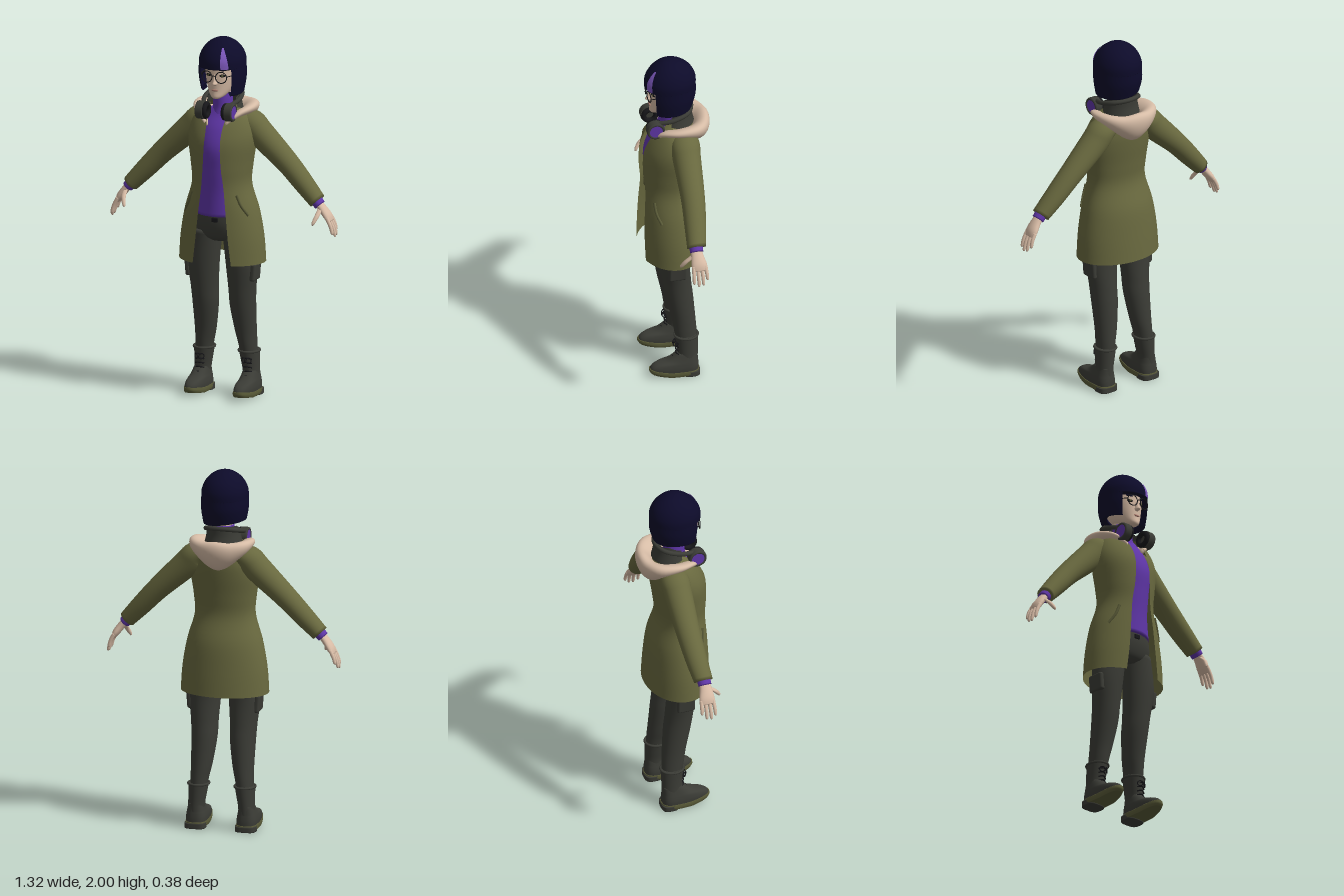
import * as THREE from 'three';
import { RoundedBoxGeometry } from 'three/addons/geometries/RoundedBoxGeometry.js';

const V = (x, y, z) => new THREE.Vector3(x, y, z);
const mat = (name, color, side = THREE.FrontSide) => {
  const m = new THREE.MeshStandardMaterial({ color, side });
  m.name = name;
  return m;
};

// Smooth blend through a short list of number rows; t counts rows.
function blend(rows, t) {
  const i = Math.min(Math.floor(t), rows.length - 2), f = t - i;
  const at = k => rows[Math.max(0, Math.min(rows.length - 1, k))];
  return rows[i].map((b, k) => {
    const a = at(i - 1)[k], c = at(i + 1)[k], d = at(i + 2)[k];
    return b + 0.5 * f * (c - a + f * (2 * a - 5 * b + 4 * c - d + f * (3 * (b - c) + d - a)));
  });
}

// Surface from a rule fn(u, v); optionally closed around u, with capped ends.
function surface(nu, nv, fn, closed = true, caps = true) {
  const pos = [], idx = [], w = closed ? nu : nu + 1;
  for (let j = 0; j <= nv; j++) for (let i = 0; i < w; i++) pos.push(...fn(i / nu, j / nv).toArray());
  for (let j = 0; j < nv; j++) for (let i = 0; i < nu; i++) {
    const a = j * w + i, b = j * w + (i + 1) % w;
    idx.push(a, b, b + w, a, b + w, a + w);
  }
  if (closed && caps) for (const j of [0, nv]) {
    const c = V(0, 0, 0), k = pos.length / 3;
    for (let i = 0; i < w; i++) c.add(V(...pos.slice((j * w + i) * 3, (j * w + i) * 3 + 3)));
    pos.push(...c.divideScalar(w).toArray());
    for (let i = 0; i < w; i++) {
      const a = j * w + i, b = j * w + (i + 1) % w;
      j ? idx.push(a, b, k) : idx.push(b, a, k);
    }
  }
  const g = new THREE.BufferGeometry();
  g.setAttribute('position', new THREE.Float32BufferAttribute(pos, 3));
  g.setIndex(idx);
  g.computeVertexNormals();
  return g;
}

// Level ring from a row [y, centre x, centre z, half width, front depth, back depth].
function ring([y, cx, cz, rx, zf, zb], a, p = 1) {
  const s = Math.sin(a), c = Math.cos(a), pw = n => Math.sign(n) * Math.abs(n) ** p;
  return V(cx + rx * pw(s), y, cz + (c > 0 ? zf : zb) * pw(c));
}
const stack = (rows, p = 1, seg = 32) => surface(seg, (rows.length - 1) * 5,
  (u, v) => ring(blend(rows, v * (rows.length - 1)), u * Math.PI * 2, p));
// Stack left open at the front; start(row) is the angle of its edge.
const openStack = (rows, start, bend = q => q) => surface(48, (rows.length - 1) * 5, (u, v) => {
  const r = blend(rows, v * (rows.length - 1)), a = start(r);
  return bend(ring(r, a + u * (Math.PI * 2 - 2 * a)), v);
}, false);

// Limb along rows [x, y, z, radius, radius along up].
function limb(rows, up = V(0, 0, 1), skew = 0, seg = 18) {
  const n = rows.length - 1, at = t => V(...blend(rows, t).slice(0, 3));
  return surface(seg, n * 5, (u, v) => {
    const t = v * n, r = blend(rows, t), a = u * Math.PI * 2;
    const T = at(Math.min(n, t + 0.05)).sub(at(Math.max(0, t - 0.05)));
    const N = up.clone().cross(T).normalize();
    return V(r[0], r[1], r[2]).addScaledVector(N, r[3] * (Math.cos(a) + skew * Math.sin(a)))
      .addScaledVector(up, r[4] * Math.sin(a));
  });
}
const tube = (pts, r) => new THREE.TubeGeometry(new THREE.CatmullRomCurve3(pts.map(p => V(...p))), 24, r, 8);

function mirrored(geo) {
  const g = geo.clone().scale(-1, 1, 1);
  if (g.index) {
    const a = g.index.array;
    for (let i = 0; i < a.length; i += 3) [a[i], a[i + 1]] = [a[i + 1], a[i]];
  } else for (const at of Object.values(g.attributes)) for (let i = 0; i < at.count; i += 3)
    for (let k = 0; k < at.itemSize; k++) {
      const x = at.getComponent(i, k);
      at.setComponent(i, k, at.getComponent(i + 1, k));
      at.setComponent(i + 1, k, x);
    }
  return g;
}

export function createModel() {
  const model = new THREE.Group();
  model.name = 'woman in parka';
  const D = THREE.DoubleSide;
  const hair = mat('navy hair', 0x0d0b2a, D), purple = mat('purple knit', 0x5f36a8, D), lilac = mat('lilac streak', 0x7d58bd, D);
  const skin = mat('skin', 0xd8bca6), fleece = mat('beige fleece', 0xd6bca6), olive = mat('olive cloth', 0x69693f, D);
  const charcoal = mat('charcoal', 0x3b3c36, D), black = mat('black', 0x17171a), sole = mat('sole olive', 0x5a5b38), lip = mat('lips', 0xb08073);
  const add = (name, geo, m) => {
    const mesh = new THREE.Mesh(geo, m);
    mesh.name = name;
    model.add(mesh);
  };
  const pair = (name, geo, m) => {
    add(name + 'Left', geo, m);
    add(name + 'Right', mirrored(geo), m);
  };
  const ball = (x, y, z, sx, sy, sz, ry = 0) =>
    new THREE.SphereGeometry(1, 20, 12).scale(sx, sy, sz).rotateY(ry).translate(x, y, z);

  // Head and face
  add('head', stack([[1.678, 0, 0.112, 0.02, 0.02, 0.02], [1.69, 0, 0.085, 0.04, 0.052, 0.05], [1.72, 0, 0.05, 0.064, 0.084, 0.09],
    [1.77, 0, 0.03, 0.082, 0.104, 0.11], [1.82, 0, 0.03, 0.088, 0.104, 0.12], [1.88, 0, 0.03, 0.088, 0.1, 0.12],
    [1.93, 0, 0.03, 0.07, 0.075, 0.09], [1.96, 0, 0.03, 0.03, 0.03, 0.04]]), skin);
  add('nose', stack([[1.752, 0, 0.13, 0.006, 0.008, 0.01], [1.762, 0, 0.13, 0.014, 0.029, 0.01],
    [1.78, 0, 0.13, 0.01, 0.021, 0.01], [1.815, 0, 0.125, 0.006, 0.012, 0.01]]), skin);
  add('lips', ball(0, 1.726, 0.135, 0.02, 0.006, 0.005), lip);
  add('neck', stack([[1.6, 0, 0.01, 0.045, 0.05, 0.05], [1.74, 0, 0.015, 0.045, 0.055, 0.05]]), skin);
  pair('eye', ball(0.04, 1.808, 0.124, 0.017, 0.008, 0.004, 0.4), black);
  pair('iris', ball(0.04, 1.808, 0.1265, 0.007, 0.007, 0.003, 0.4), sole);
  pair('brow', ball(0.042, 1.838, 0.122, 0.021, 0.004, 0.004, 0.4), hair);

  // Round glasses
  pair('lensRim', new THREE.TorusGeometry(0.031, 0.0028, 6, 32).rotateY(0.15).translate(0.041, 1.803, 0.147), black);
  pair('templeArm', tube([[0.071, 1.808, 0.142], [0.092, 1.81, 0.1], [0.096, 1.81, 0.02]], 0.0025), black);
  add('glassesBridge', tube([[-0.011, 1.808, 0.152], [0, 1.812, 0.159], [0.011, 1.808, 0.152]], 0.0025), black);

  // Bob haircut: cap with fringe, side and back curtain, coloured streak
  const capRows = [[1.845, 0, 0.02, 0.128, 0.143, 0.14], [1.89, 0, 0.02, 0.126, 0.139, 0.139], [1.935, 0, 0.02, 0.108, 0.115, 0.12],
    [1.97, 0, 0.02, 0.078, 0.078, 0.085], [1.992, 0, 0.02, 0.04, 0.04, 0.045], [1.999, 0, 0.02, 0.006, 0.006, 0.006]];
  add('hairCap', stack(capRows, 1, 48), hair);
  add('hairCurtain', openStack([[1.73, 0, 0.02, 0.085, 0.1, 0.085], [1.712, 0, 0.02, 0.112, 0.125, 0.115], [1.73, 0, 0.02, 0.12, 0.13, 0.125],
    [1.79, 0, 0.02, 0.129, 0.138, 0.14], [1.85, 0, 0.02, 0.128, 0.143, 0.14]], () => 0.78, (q, v) => {
    q.y -= (1 - v) * (q.x * 0.17 + Math.max(0, q.z) * 0.1);
    return q;
  }), hair);
  add('hairStreak', surface(8, 16, (u, v) => {
    const q = ring(blend(capRows, 0.1 + v * 2.5), 0.5 - 0.1 * v + (u - 0.5) * 0.34 * (1 - 0.7 * v * v));
    return V(q.x * 1.02, q.y + 0.002, 0.02 + (q.z - 0.02) * 1.025);
  }, false), lilac);

  // Jumper with roll neck
  add('jumper', stack([[1.02, 0, 0.02, 0.15, 0.13, 0.1], [1.15, 0, 0.02, 0.135, 0.13, 0.085], [1.28, 0, 0.02, 0.14, 0.14, 0.09],
    [1.4, 0, 0.02, 0.15, 0.147, 0.1], [1.5, 0, 0.02, 0.14, 0.115, 0.1], [1.57, 0, 0.015, 0.11, 0.075, 0.09], [1.61, 0, 0.01, 0.06, 0.06, 0.06]]), purple);
  add('rollNeck', stack([[1.56, 0, 0.015, 0.07, 0.075, 0.07], [1.61, 0, 0.015, 0.055, 0.062, 0.06],
    [1.66, 0, 0.015, 0.052, 0.06, 0.06], [1.695, 0, 0.015, 0.051, 0.057, 0.06]]), purple);

  // Open parka; the seventh number is the front edge's distance from the middle
  const coatRows = [[0.76, 0, 0.02, 0.245, 0.18, 0.175, 0.112], [0.9, 0, 0.02, 0.235, 0.178, 0.165, 0.095], [1.05, 0, 0.02, 0.208, 0.172, 0.148, 0.08],
    [1.19, 0, 0.02, 0.168, 0.165, 0.108, 0.065], [1.3, 0, 0.02, 0.174, 0.17, 0.115, 0.053], [1.42, 0, 0.02, 0.19, 0.165, 0.133, 0.047],
    [1.5, 0, 0.02, 0.183, 0.138, 0.14, 0.047], [1.57, 0, 0.02, 0.15, 0.096, 0.13, 0.055], [1.61, 0, 0.015, 0.1, 0.06, 0.09, 0.065], [1.63, 0, 0.01, 0.075, 0.05, 0.07, 0.06]];
  add('coat', openStack(coatRows, r => Math.asin(Math.min(0.95, r[6] / r[3]))), olive);
  pair('sleeve', limb([[0.09, 1.55, -0.03, 0.045, 0.07], [0.15, 1.525, -0.03, 0.07, 0.08], [0.2, 1.47, -0.028, 0.075, 0.077],
    [0.355, 1.325, -0.025, 0.062, 0.066], [0.46, 1.215, -0.015, 0.055, 0.06], [0.545, 1.125, -0.003, 0.046, 0.052]], undefined, 0, 28), olive);
  pair('coatPocket', tube([[2.7, 0.8], [2.3, 0.87], [1.9, 1.05]].map(([t, a]) => ring(blend(coatRows, t), a).toArray()), 0.008), sole);

  // Draped hood running from lapel to lapel around the back
  const half = [[0.055, 1.535, 0.125, 0.01, 0.014], [0.1, 1.582, 0.075, 0.03, 0.022], [0.135, 1.598, 0, 0.036, 0.03],
    [0.118, 1.585, -0.085, 0.046, 0.05], [0.063, 1.56, -0.128, 0.048, 0.072]];
  const hoodRows = [...half.map(([x, ...r]) => [-x, ...r]), [0, 1.553, -0.142, 0.048, 0.085], ...half.slice().reverse()];
  add('hood', limb(hoodRows, V(0, 1, 0), 0.5, 28), fleece);
  add('standCollar', openStack([[1.6, 0, 0, 0.105, 0.08, 0.11], [1.65, 0, 0, 0.095, 0.08, 0.1], [1.705, 0, 0, 0.088, 0.075, 0.1]],
    () => 1.15, (q, v) => {
      q.y -= v * 0.5 * Math.max(0, q.z + 0.04);
      return q;
    }), charcoal);

  // Headphones round the neck
  const band = [[0.078, 1.64, 0.105], [0.1, 1.66, 0.03], [0.08, 1.685, -0.06]];
  add('headphoneBand', tube([...band, [0, 1.695, -0.095], ...band.slice().reverse().map(([x, y, z]) => [-x, y, z])], 0.013), charcoal);
  const disc = (r, w, x) => new THREE.CylinderGeometry(r, r, w, 32).rotateZ(Math.PI / 2).translate(x, 1.607, 0.12);
  pair('earCup', disc(0.05, 0.036, 0.082), charcoal);
  pair('earCushion', new THREE.TorusGeometry(0.034, 0.014, 10, 32).rotateY(Math.PI / 2).translate(0.056, 1.607, 0.12), black);
  pair('earCupRim', new THREE.TorusGeometry(0.042, 0.008, 8, 32).rotateY(Math.PI / 2).translate(0.1, 1.607, 0.12), charcoal);
  pair('earCupDisc', disc(0.036, 0.006, 0.102), purple);

  // Cuffs and hands
  pair('knitCuff', limb([[0.53, 1.14, 0, 0.034, 0.038], [0.562, 1.105, 0, 0.031, 0.036]]), purple);
  pair('palm', limb([[0.54, 1.13, 0, 0.02, 0.027], [0.575, 1.09, 0, 0.021, 0.034], [0.605, 1.05, -0.004, 0.02, 0.043], [0.622, 1.02, -0.006, 0.012, 0.04]]), skin);
  [[0.028, 0.9], [0.006, 1.05], [-0.016, 1], [-0.037, 0.75]].forEach(([z, l], i) => pair('finger' + (i + 1), limb([
    [0.61, 1.045, z, 0.011, 0.011], [0.61 + 0.026 * l, 1.045 - 0.05 * l, z * 1.1, 0.01, 0.01],
    [0.61 + 0.038 * l, 1.045 - 0.09 * l, z * 1.15, 0.0085, 0.0085], [0.61 + 0.04 * l, 1.045 - 0.102 * l, z * 1.15, 0.004, 0.004]], undefined, 0, 10), skin));
  pair('thumb', limb([[0.57, 1.09, 0.02, 0.014, 0.012], [0.566, 1.058, 0.056, 0.013, 0.013],
    [0.555, 1.025, 0.079, 0.01, 0.011], [0.549, 1.01, 0.085, 0.004, 0.005]], undefined, 0, 12), skin);

  // Trousers
  add('hips', stack([[0.87, 0, 0.02, 0.1, 0.06, 0.07], [0.9, 0, 0.02, 0.15, 0.095, 0.11], [0.97, 0, 0.02, 0.165, 0.115, 0.12], [1.06, 0, 0.02, 0.145, 0.115, 0.095]]), charcoal);
  add('beltBuckle', new RoundedBoxGeometry(0.035, 0.025, 0.01, 2, 0.004).translate(0, 1.0, 0.137), black);
  pair('trouserLeg', stack([[0.22, 0.131, -0.04, 0.046, 0.056, 0.058], [0.28, 0.126, -0.035, 0.05, 0.062, 0.062], [0.36, 0.117, -0.025, 0.059, 0.065, 0.067],
    [0.5, 0.109, -0.004, 0.071, 0.074, 0.077], [0.6, 0.11, 0.008, 0.076, 0.077, 0.078], [0.76, 0.111, 0.02, 0.09, 0.083, 0.08], [0.93, 0.088, 0.02, 0.084, 0.09, 0.1]]), charcoal);
  pair('thighPocket', new RoundedBoxGeometry(0.03, 0.1, 0.1, 3, 0.012).rotateZ(-0.08).translate(0.19, 0.705, 0.02), charcoal);

  // Laced boots
  pair('bootShaft', stack([[0.03, 0.143, -0.04, 0.05, 0.06, 0.06], [0.12, 0.142, -0.045, 0.045, 0.056, 0.056], [0.19, 0.136, -0.043, 0.05, 0.06, 0.06], [0.25, 0.131, -0.04, 0.056, 0.066, 0.064]]), charcoal);
  pair('bootFoot', stack([[0.025, 0.143, -0.04, 0.054, 0.198, 0.064], [0.055, 0.143, -0.04, 0.055, 0.203, 0.064], [0.08, 0.143, -0.04, 0.052, 0.175, 0.062],
    [0.1, 0.143, -0.04, 0.048, 0.105, 0.06], [0.14, 0.142, -0.045, 0.04, 0.056, 0.054]], 0.8), charcoal);
  const soleGeo = stack([[0.006, 0.143, -0.04, 0.055, 0.198, 0.066], [0.02, 0.143, -0.04, 0.058, 0.209, 0.068], [0.036, 0.143, -0.04, 0.057, 0.208, 0.067]], 0.8);
  const sp = soleGeo.attributes.position;
  for (let i = 0; i < sp.count; i++) sp.setY(i, sp.getY(i) + Math.max(0, sp.getZ(i) - 0.05) * 0.16);
  soleGeo.computeVertexNormals();
  pair('bootSole', soleGeo, sole);
  pair('bootHeel', stack([[0, 0.143, -0.06, 0.057, 0.045, 0.049], [0.03, 0.143, -0.06, 0.058, 0.045, 0.049]], 0.6), charcoal);
  pair('bootCuff', new THREE.TorusGeometry(0.056, 0.007, 8, 32).rotateX(Math.PI / 2).scale(1, 1, 1.12).translate(0.131, 0.245, -0.04), charcoal);
  for (let i = 0; i < 5; i++) {
    const y = 0.11 + i * 0.024, z = i ? 0.017 : 0.032;
    pair('lace' + (i + 1), tube([[0.114, y, z - 0.01], [0.14, y + 0.006, z + 0.004], [0.166, y, z - 0.01]], 0.004), black);
  }
  for (const s of [-1, 1])
    pair('laceLoop' + (s > 0 ? 'Outer' : 'Inner'), new THREE.TorusGeometry(0.015, 0.003, 6, 20).rotateY(s * 0.7).translate(0.138 + s * 0.015, 0.2, 0.026), black);
  return model;
}
